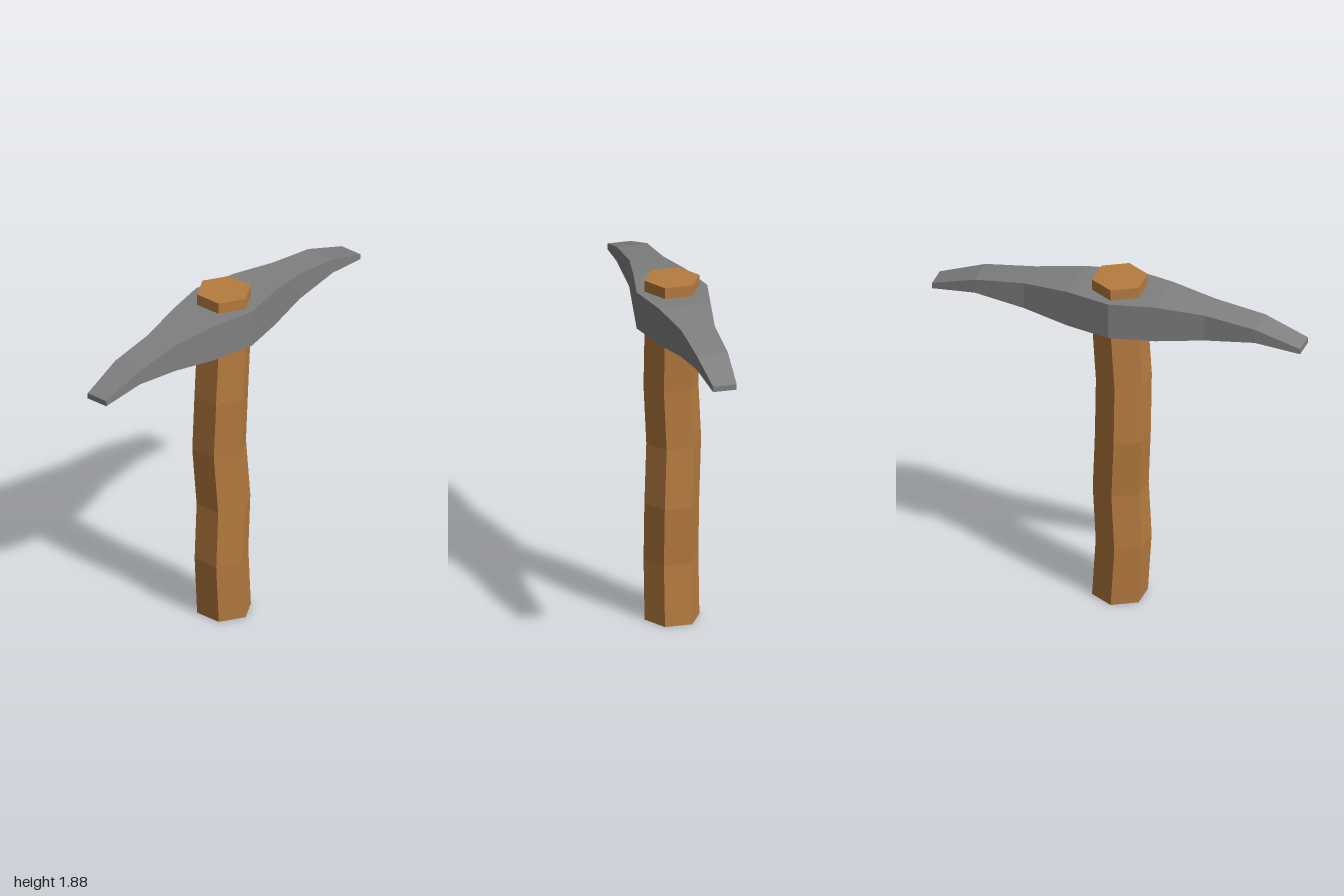
import * as THREE from 'three';

const wood = new THREE.MeshStandardMaterial({ color: 0xb67c40 });
wood.name = 'wood';
wood.flatShading = true;
const metal = new THREE.MeshStandardMaterial({ color: 0x808080 });
metal.name = 'grey metal';
metal.flatShading = true;

// Handle rings from bottom to top: [y, x offset, z offset]
const RINGS = [
  [0, 0, 0], [0.33, -0.02, 0], [0.645, -0.004, 0], [0.97, -0.021, -0.015],
  [1.29, -0.021, 0], [1.62, 0, 0], [1.88, 0, 0],
];

// Head sections from the middle to the tip: [x, bottom y, top y, half depth]
const SECTIONS = [
  [0, 1.62, 1.82, 0.188], [0.24, 1.62, 1.82, 0.138], [0.49, 1.647, 1.795, 0.09],
  [0.76, 1.682, 1.76, 0.083], [1, 1.65, 1.68, 0.063],
];

// Moves every vertex of a geometry by a rule
function reshape(geometry, rule) {
  const p = geometry.attributes.position;
  for (let i = 0; i < p.count; i++) {
    p.setXYZ(i, ...rule(p.getX(i), p.getY(i), p.getZ(i)));
  }
  geometry.computeVertexNormals();
  return geometry;
}

// Crooked six-sided shaft
function createHandle() {
  const n = RINGS.length - 1;
  const geometry = reshape(new THREE.CylinderGeometry(0.146, 0.146, n, 6, n), (x, y, z) => {
    const [ringY, dx, dz] = RINGS[Math.round(y + n / 2)];
    return [x + dx, ringY, z + dz];
  });
  const mesh = new THREE.Mesh(geometry, wood);
  mesh.name = 'handle';
  return mesh;
}

// Double-ended head tapering to flat, drooping tips
function createHead() {
  const n = SECTIONS.length - 1;
  const geometry = reshape(new THREE.BoxGeometry(2 * n, 2, 2, 2 * n, 1, 1), (x, y, z) => {
    const [sx, bottom, top, depth] = SECTIONS[Math.round(Math.abs(x))];
    return [Math.sign(x) * sx, y > 0 ? top : bottom, Math.sign(z) * depth];
  });
  const mesh = new THREE.Mesh(geometry, metal);
  mesh.name = 'pickHead';
  return mesh;
}

export function createModel() {
  const group = new THREE.Group();
  group.name = 'pickaxe';
  group.add(createHandle(), createHead());
  return group;
}
